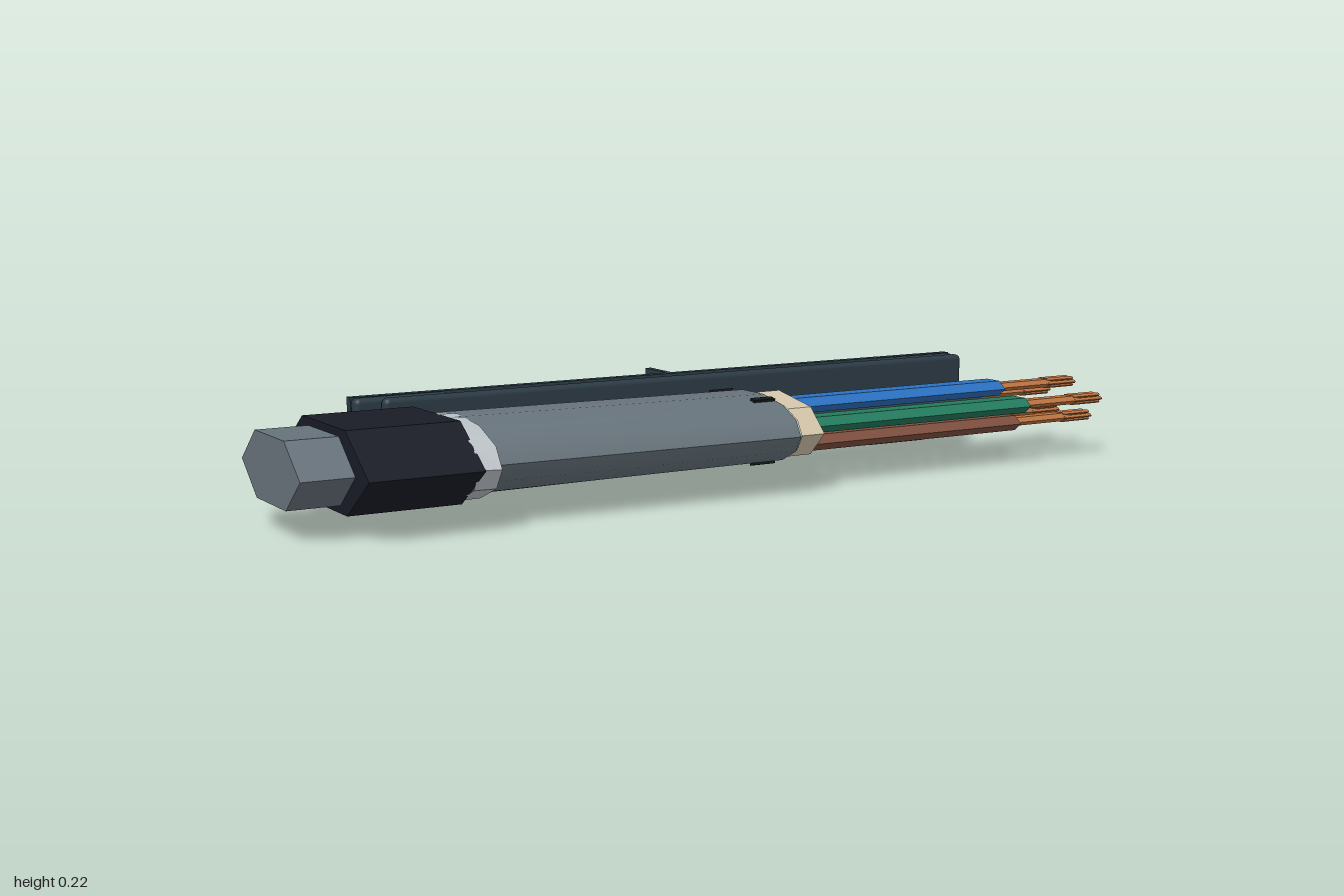
import * as THREE from 'three';
import { toCreasedNormals } from 'three/addons/utils/BufferGeometryUtils.js';
import { RoundedBoxGeometry } from 'three/addons/geometries/RoundedBoxGeometry.js';

const C = {
  jacket: 0x66727a, band: 0x191c26, trim: 0xb9c0c4, filler: 0xd3c5a9, rail: 0x2b3a44,
  copper: 0xb9713f, pad: 0x8a4a24, brass: 0xc0953f, steel: 0xc4c4c0, dark: 0x14161b,
};

const mat = (color) => new THREE.MeshStandardMaterial({ color, side: THREE.DoubleSide });

function add(parent, name, geo, color) {
  const m = new THREE.Mesh(geo, mat(color));
  m.name = name;
  parent.add(m);
  return m;
}

// Flattened prism along x. Each end is [x, y, z, radiusY, radiusZ].
function prism(a, b, sides, { open = false, crease = 0.3 } = {}) {
  const g = new THREE.CylinderGeometry(1, 1, 1, sides, 1, open).rotateZ(-Math.PI / 2);
  const p = g.attributes.position;
  for (let i = 0; i < p.count; i++) {
    const e = p.getX(i) < 0 ? a : b;
    p.setXYZ(i, e[0], e[1] + p.getY(i) * e[3], e[2] + p.getZ(i) * e[4]);
  }
  return toCreasedNormals(g, crease);
}

// Box given by its limits, optionally with rounded edges.
function block(parent, name, [x0, x1], [y0, y1], [z0, z1], color, r = 0) {
  const s = [x1 - x0, y1 - y0, z1 - z0];
  const g = r ? new RoundedBoxGeometry(...s, 3, r) : new THREE.BoxGeometry(...s);
  const m = add(parent, name, g, color);
  m.position.set((x0 + x1) / 2, (y0 + y1) / 2, (z0 + z1) / 2);
  return m;
}

function buildCable() {
  const g = new THREE.Group();
  g.name = 'cable';
  // Outer jacket and the wide band around it
  add(g, 'outerJacket', prism([-1, 0.127, 0.057, 0.078, 0.163], [-0.66, 0.127, 0.057, 0.078, 0.163], 6), C.jacket);
  add(g, 'band', prism([-0.89, 0.127, 0.057, 0.096, 0.23], [-0.65, 0.127, 0.057, 0.096, 0.23], 6), C.band);
  // Collar and inner sheath
  add(g, 'collar', prism([-0.655, 0.125, 0.07, 0.086, 0.195], [-0.61, 0.125, 0.07, 0.084, 0.205], 12, { open: true, crease: 0.6 }), C.trim);
  add(g, 'innerSheath', prism([-0.65, 0.127, 0.06, 0.082, 0.178], [0.09, 0.13, 0.076, 0.076, 0.19], 14, { open: true, crease: 0.8 }), C.jacket);
  add(g, 'sheathLining', prism([0.04, 0.13, 0.075, 0.072, 0.183], [0.1, 0.13, 0.075, 0.071, 0.181], 14, { open: true, crease: 0.8 }), C.trim);
  // Filler the conductors come out of
  add(g, 'filler', prism([-0.05, 0.128, 0.07, 0.073, 0.178], [0.165, 0.128, 0.065, 0.073, 0.178], 8), C.filler);
  // Slits near the end of the sheath
  for (const z of [-0.01, 0.16]) {
    for (const s of [-1, 1]) {
      const y = 0.13 + s * 0.0765 * Math.sqrt(1 - ((z - 0.076) / 0.19) ** 2);
      block(g, 'sheathSlit', [0.035, 0.088], [y - 0.003, y + 0.003], [z - 0.008, z + 0.008], C.dark)
        .rotation.x = s * (z - 0.076) * 2.6;
    }
  }
  return g;
}

function buildWire(name, z, y, color) {
  const g = new THREE.Group();
  g.name = name;
  add(g, 'insulation', prism([0.1, y, z, 0.02, 0.045], [0.77, y, z, 0.02, 0.045], 6), color);
  add(g, 'copperCore', prism([0.76, y, z, 0.011, 0.026], [0.93, y, z, 0.011, 0.026], 6), C.copper);
  // One strand in the middle, six around it
  for (let i = 0; i < 7; i++) {
    const a = (i * Math.PI) / 3, k = i === 6 ? 0 : 1;
    const sy = y + k * 0.009 * Math.sin(a), sz = z + k * 0.018 * Math.cos(a);
    add(g, 'strand', prism([0.92, sy, sz, 0.0045, 0.009], [1, sy, sz, 0.0045, 0.009], 8, { crease: 1 }), C.copper);
  }
  return g;
}

function buildTerminal(x) {
  const g = new THREE.Group();
  g.name = 'terminal';
  const w = 0.085;
  // Housing: back, two cheeks
  block(g, 'housingBack', [-w, w], [0.045, 0.175], [-0.195, -0.165], C.rail);
  for (const s of [-1, 1]) {
    block(g, 'housingCheek', [s * 0.079 - 0.006, s * 0.079 + 0.006], [0.045, 0.175], [-0.25, -0.19], C.rail);
    block(g, 'clampSide', [s * 0.064 - 0.008, s * 0.064 + 0.008], [0.045, 0.165], [-0.255, -0.195], C.brass);
    block(g, 'clampLip', [s * 0.052 - 0.02, s * 0.052 + 0.02], [0.05, 0.13], [-0.262, -0.252], C.brass);
  }
  block(g, 'clampFloor', [-0.07, 0.07], [0.045, 0.06], [-0.258, -0.195], C.brass);
  block(g, 'clampBack', [-0.07, 0.07], [0.045, 0.16], [-0.205, -0.195], C.brass);
  block(g, 'pressurePlate', [-0.075, 0.075], [0.135, 0.2], [-0.258, -0.252], C.steel);
  // Screw with threads and a slotted head
  const head = add(g, 'screwHead', new THREE.CylinderGeometry(0.034, 0.034, 0.018, 20).rotateX(Math.PI / 2), C.steel);
  head.position.set(0, 0.137, -0.285);
  const shaft = add(g, 'screwShaft', new THREE.CylinderGeometry(0.015, 0.015, 0.09, 12).rotateX(Math.PI / 2), C.steel);
  shaft.position.set(0, 0.137, -0.235);
  for (let i = 0; i < 6; i++) {
    const t = add(g, 'screwThread', new THREE.TorusGeometry(0.016, 0.004, 5, 14), C.steel);
    t.position.set(0, 0.137, -0.27 + i * 0.013);
    t.rotation.x = 0.12;
  }
  block(g, 'screwSlot', [-0.03, 0.03], [0.133, 0.141], [-0.295, -0.292], 0x55585a).rotation.z = 0.35;
  // Copper foot below the rail
  block(g, 'copperFoot', [-w, w], [0, 0.035], [-0.255, -0.214], C.pad, 0.008);
  g.position.x = x;
  return g;
}

function buildRail() {
  const g = new THREE.Group();
  g.name = 'rail';
  const h = [0.025, 0.222];
  block(g, 'frontPlate', [-0.69, 0.81], h, [-0.14, -0.112], C.rail, 0.012);
  for (const span of [[-0.745, -0.53], [0.59, 0.81]]) {
    block(g, 'spacer', span, h, [-0.17, -0.138], C.rail, 0.012);
  }
  block(g, 'wall', [-0.745, 0.81], h, [-0.185, -0.165], C.rail);
  block(g, 'floor', [-0.745, 0.81], [0.025, 0.045], [-0.283, -0.165], C.rail);
  block(g, 'middleRib', [0.023, 0.037], [0.04, 0.222], [-0.279, -0.18], C.rail);
  return g;
}

export function createModel() {
  const model = new THREE.Group();
  model.name = 'cableWithTerminalRail';
  model.add(buildCable(), buildRail(), buildTerminal(-0.64), buildTerminal(0.7));
  const wires = [
    ['blueWire', 0.06, 0.165, 0x2a70c0],
    ['greenWire', 0.155, 0.136, 0x237a5c],
    ['greyWire', -0.03, 0.136, 0x5f6b73],
    ['brownWire', 0.12, 0.091, 0x7c4e3e],
    ['blackWire', 0.005, 0.091, C.dark],
  ];
  for (const w of wires) model.add(buildWire(...w));
  return model;
}
